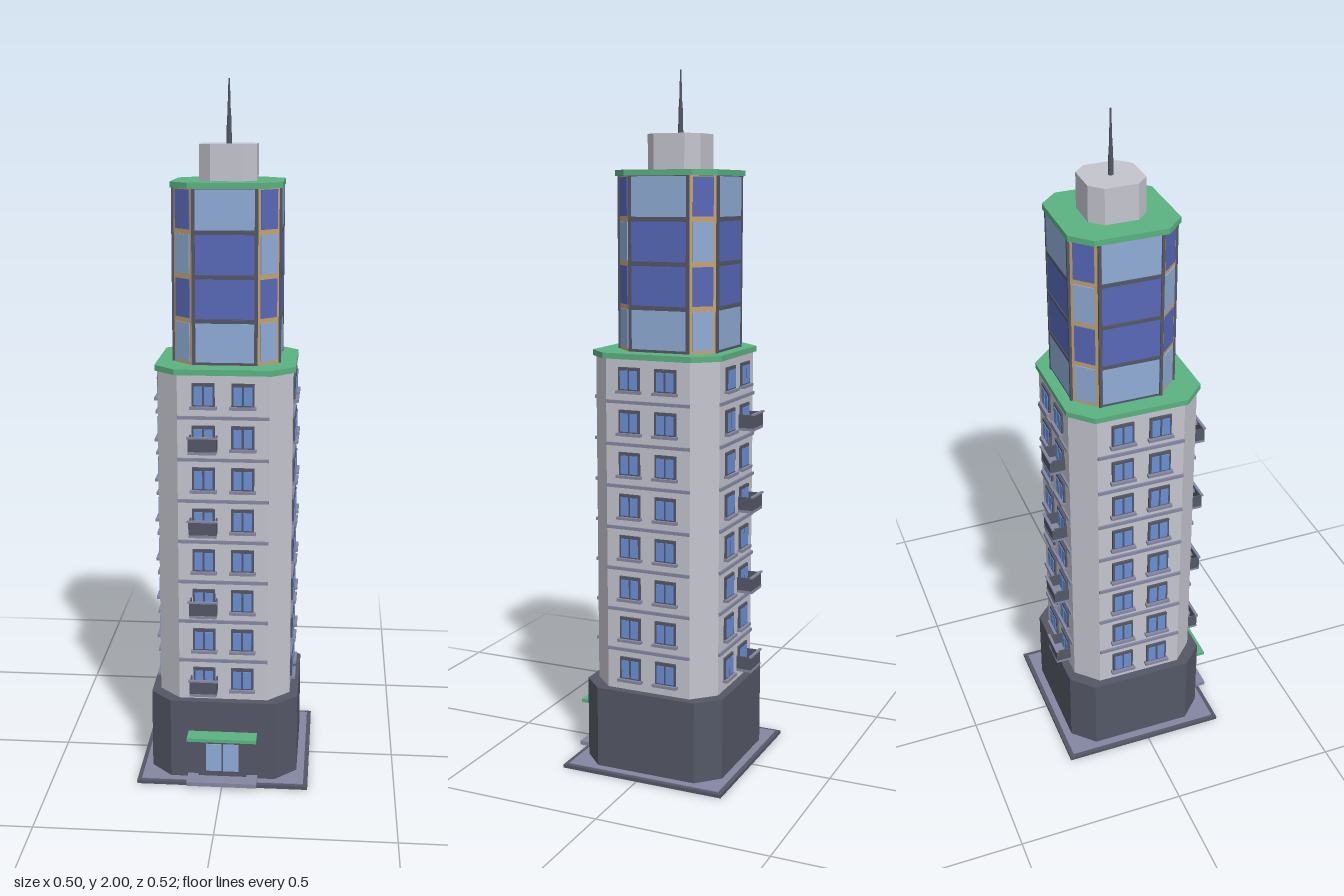
import * as THREE from 'three';

const mat = (name, color) => {
  const m = new THREE.MeshStandardMaterial({ color });
  m.name = name;
  return m;
};

export function createModel() {
  const wall = mat('pale wall', 0xc4c4ce);
  const dark = mat('dark slate', 0x545766);
  const stone = mat('lavender stone', 0x8587a2);
  const green = mat('green roof', 0x5bb280);
  const pane = mat('window glass', 0x6a90d6);
  const light = mat('light glass', 0x8eacd6);
  const deep = mat('deep blue glass', 0x5868b8);
  const tan = mat('tan trim', 0xc4a273);

  const model = new THREE.Group();
  model.name = 'tower';

  const group = (name, parent, z = 0) => {
    const g = new THREE.Group();
    g.name = name;
    g.position.z = z;
    parent.add(g);
    return g;
  };
  const box = (name, parent, material, w, h, d, x, y, z) => {
    const m = new THREE.Mesh(new THREE.BoxGeometry(w, h, d), material);
    m.name = name;
    m.position.set(x, y, z);
    parent.add(m);
    return m;
  };
  // Square prism with cut corners: r = half width, f = half length of each main side
  const octagon = (name, parent, material, r, f, y0, y1) => {
    const pts = [[f, -r], [r, -f], [r, f], [f, r], [-f, r], [-r, f], [-r, -f], [-f, -r]];
    const shape = new THREE.Shape(pts.map(([x, y]) => new THREE.Vector2(x, y)));
    const geo = new THREE.ExtrudeGeometry(shape, { depth: y1 - y0, bevelEnabled: false });
    geo.rotateX(-Math.PI / 2);
    const m = new THREE.Mesh(geo, material);
    m.name = name;
    m.position.y = y0;
    parent.add(m);
  };

  const lower = group('lowerTower', model, -0.0125);
  const upper = group('upperTower', model, -0.028);

  // Ground plate, podium, shaft and ledge
  box('plateEdge', lower, dark, 0.497, 0.01, 0.497, 0, 0.005, 0);
  box('plateTop', lower, stone, 0.472, 0.003, 0.472, 0, 0.0105, 0);
  octagon('podium', lower, dark, 0.214, 0.152, 0.01, 0.25);
  octagon('shaft', lower, wall, 0.19, 0.128, 0.25, 1.21);
  octagon('ledge', lower, green, 0.197, 0.135, 1.21, 1.226);

  // One window, built in a frame whose wall surface is at z = 0.19
  const addWindow = (parent, x, y) => {
    const g = group('window', parent);
    g.position.set(x, y, 0.19);
    box('windowFrame', g, dark, 0.064, 0.068, 0.012, 0, 0.064, 0);
    for (const s of [-1, 1]) box('windowPane', g, pane, 0.023, 0.052, 0.003, s * 0.0145, 0.063, 0.0065);
    box('windowSill', g, stone, 0.075, 0.008, 0.018, 0, 0.029, 0.006);
  };

  const addBalcony = (parent, x, y) => {
    const g = group('balcony', parent);
    g.position.set(x, y, 0.19);
    box('balconySlab', g, stone, 0.078, 0.008, 0.046, 0, 0.029, 0.023);
    box('balconyFront', g, dark, 0.078, 0.038, 0.004, 0, 0.052, 0.043);
    for (const s of [-1, 1]) {
      box('balconySide', g, dark, 0.004, 0.038, 0.043, s * 0.037, 0.052, 0.0215);
    }
    box('balconyRail', g, stone, 0.086, 0.005, 0.008, 0, 0.0725, 0.044);
  };

  // Four facades: eight floors, two windows each; balconies on front and back
  for (let k = 0; k < 4; k++) {
    const facade = group('facade', lower);
    facade.rotation.y = (k * Math.PI) / 2;
    for (let floor = 0; floor < 8; floor++) {
      const y = 0.25 + floor * 0.12;
      addWindow(facade, -0.055, y);
      addWindow(facade, 0.055, y);
      if (floor > 0) box('floorBand', facade, stone, 0.256, 0.009, 0.012, 0, y, 0.19);
      if (k % 2 === 0 && floor % 2 === 0) addBalcony(facade, k === 0 ? -0.055 : 0.055, y);
    }
  }

  // Entrance with step, double door and canopy
  const entrance = group('entrance', model);
  box('step', entrance, stone, 0.203, 0.012, 0.06, 0, 0.016, 0.228);
  box('doorFrame', entrance, dark, 0.14, 0.117, 0.02, 0, 0.08, 0.204);
  for (const s of [-1, 1]) box('doorPane', entrance, light, 0.045, 0.085, 0.004, s * 0.025, 0.081, 0.2145);
  box('canopy', entrance, green, 0.2, 0.01, 0.055, 0, 0.152, 0.2245);

  // Glazed upper section
  octagon('glazedCore', upper, tan, 0.147, 0.09, 1.226, 1.712);
  const sideGlass = [light, deep, deep, light];
  const cornerGlass = [light, deep, light, deep];
  const cornerDistance = (0.147 + 0.09) / Math.SQRT2;
  for (let k = 0; k < 4; k++) {
    const side = group('glazedSide', upper);
    side.rotation.y = (k * Math.PI) / 2;
    const corner = group('glazedCorner', upper);
    corner.rotation.y = ((k + 0.5) * Math.PI) / 2;
    box('sideFrame', side, dark, 0.178, 0.484, 0.006, 0, 1.469, 0.147);
    for (const s of [-1, 1]) box('cornerPost', side, dark, 0.008, 0.484, 0.01, s * 0.087, 1.469, 0.148);
    for (let row = 0; row < 4; row++) {
      const y = 1.297 + row * 0.1215 - 0.008;
      box('sideGlass', side, sideGlass[row], 0.163, 0.109, 0.004, 0, y, 0.1495);
      box('cornerGlass', corner, cornerGlass[row], 0.06, 0.107, 0.004, 0, y, cornerDistance + 0.001);
      if (row > 0) box('sideBar', side, dark, 0.17, 0.01, 0.01, 0, y - 0.061, 0.148);
    }
  }
  octagon('roof', upper, green, 0.155, 0.102, 1.71, 1.726);
  octagon('roofHouse', upper, wall, 0.08, 0.046, 1.726, 1.825);

  // Mast
  const addMast = (name, rTop, rBottom, y0, y1) => {
    const m = new THREE.Mesh(new THREE.CylinderGeometry(rTop, rBottom, y1 - y0, 8), dark);
    m.name = name;
    m.position.y = (y0 + y1) / 2;
    upper.add(m);
  };
  addMast('mastBase', 0.006, 0.008, 1.825, 1.9);
  addMast('mastTip', 0.002, 0.005, 1.9, 2.0);

  return model;
}
